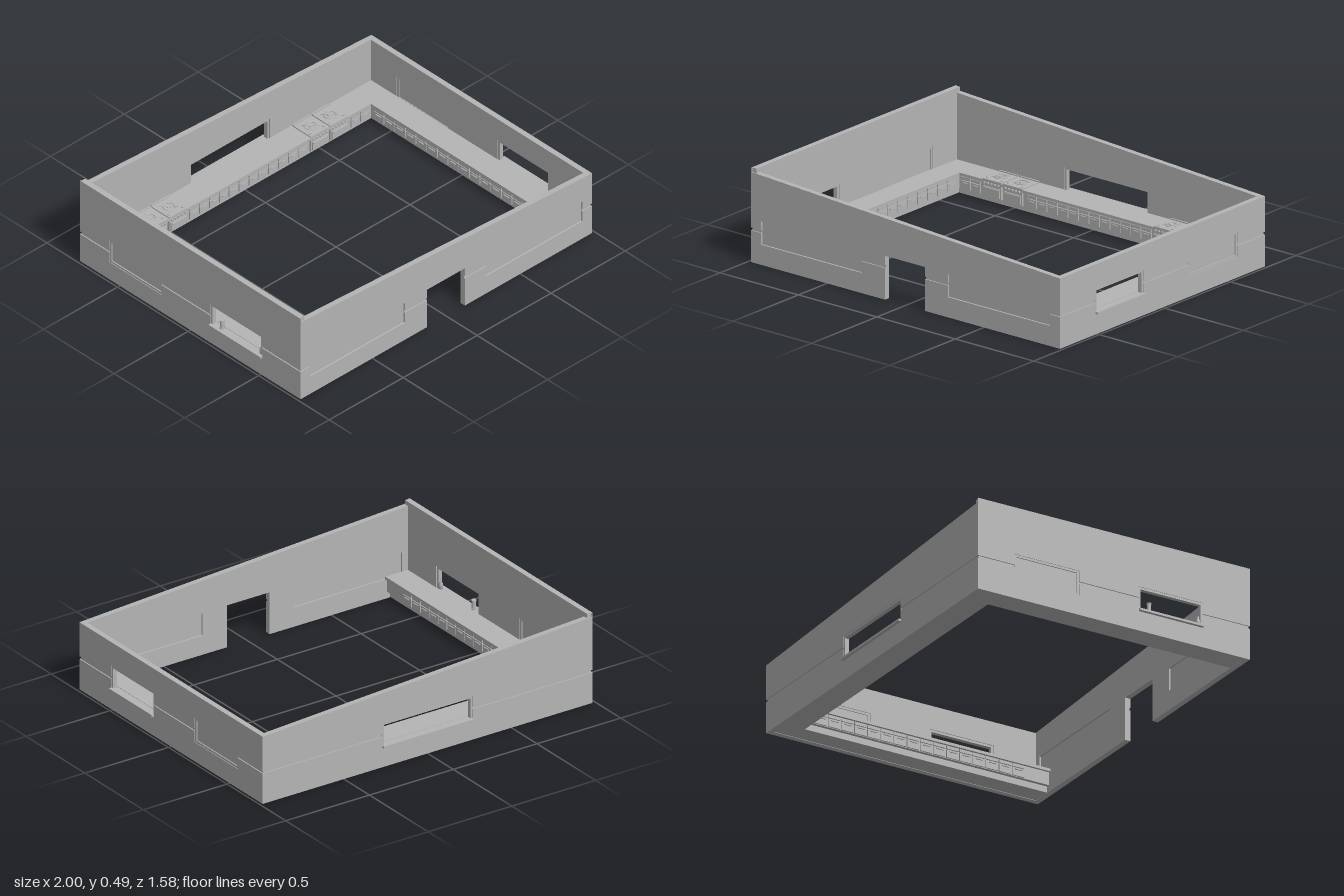
import * as THREE from 'three';

const grey = new THREE.MeshStandardMaterial({ color: 0xb4b4b4 });
grey.name = 'plain grey';

function add(parent, name, geometry) {
  const mesh = new THREE.Mesh(geometry, grey);
  mesh.name = name;
  parent.add(mesh);
  return mesh;
}

// Box given by its limits on each axis
function box(parent, name, x0, x1, y0, y1, z0, z1) {
  const g = new THREE.BoxGeometry(x1 - x0, y1 - y0, z1 - z0);
  return add(parent, name, g.translate((x0 + x1) / 2, (y0 + y1) / 2, (z0 + z1) / 2));
}

function cylinder(parent, name, r, h, x, y, z, sides = 16, rTop = r) {
  return add(parent, name, new THREE.CylinderGeometry(rTop, r, h, sides).translate(x, y + h / 2, z));
}

function slab(parent, name, shape, z0, z1) {
  const g = new THREE.ExtrudeGeometry(shape, { depth: z1 - z0, bevelEnabled: false });
  return add(parent, name, g.translate(0, 0, z0));
}

function rectPath(Type, x0, x1, y0, y1) {
  return new Type([[x0, y0], [x1, y0], [x1, y1], [x0, y1]].map(p => new THREE.Vector2(...p)));
}

// Wall outline with a sloping top and openings notched into the lower edge
function outline(half, bottom, hL, hR, notches) {
  const pts = [[-half, bottom]];
  for (const n of notches) pts.push([n.x0, bottom], [n.x0, n.y1], [n.x1, n.y1], [n.x1, bottom]);
  pts.push([half, bottom], [half, hR], [-half, hL]);
  return new THREE.Shape(pts.map(p => new THREE.Vector2(...p)));
}

const THICK = 0.03, SKIN = 0.006, GROOVE0 = 0.165, GROOVE1 = 0.18;

// One wall, drawn facing +z with its outer face at distance d, then turned
function wall(parent, name, turn, d, half, hL, hR, openings) {
  const g = new THREE.Group();
  g.name = name;
  g.rotation.y = turn;
  parent.add(g);
  const inner = d - THICK, face = d - SKIN;

  // Structural core
  const core = outline(half - SKIN, 0, hL, hR, openings.filter(o => o.y0 === 0));
  for (const o of openings) if (o.y0 > 0) core.holes.push(rectPath(THREE.Path, o.x0, o.x1, o.y0, o.y1));
  slab(g, 'wallCore', core, inner, face);

  // Outer cladding above and below the horizontal groove
  slab(g, 'upperCladding', outline(half, GROOVE1, hL, hR, openings), face, d);
  let x = -half;
  for (const o of openings) {
    box(g, 'lowerCladding', x, o.x0, 0, GROOVE0, face, d);
    if (o.y0 > 0) box(g, 'lowerCladding', o.x0, o.x1, 0, o.y0, face, d);
    x = o.x1;
  }
  box(g, 'lowerCladding', x, half, 0, GROOVE0, face, d);

  // Window frames, blind panels and sills
  for (const o of openings) {
    if (o.frame) {
      const ring = rectPath(THREE.Shape, o.x0, o.x1, o.y0, o.y1);
      ring.holes.push(rectPath(THREE.Path, o.x0 + 0.012, o.x1 - 0.012, o.y0 + 0.012, o.y1 - 0.012));
      slab(g, 'windowFrame', ring, inner + 0.004, d - 0.003);
    }
    if (o.panel) box(g, 'blindPanel', o.x0, o.x1, o.y0, o.y1, inner + 0.009, d - 0.009);
    if (o.sill) box(g, 'windowSill', o.x0, o.x1, 0.106, 0.118, d - 0.045, d + 0.015);
  }
}

// Run of cupboards drawn facing +z, with the front at distance f
function cabinetRun(parent, name, turn, f, back, a0, a1, d0, d1, count) {
  const g = new THREE.Group();
  g.name = name;
  g.rotation.y = turn;
  parent.add(g);
  box(g, 'countertop', a0, a1, 0.105, 0.12, back, f);
  box(g, 'carcass', a0, a1, 0.035, 0.105, back, f - 0.012);
  box(g, 'toeKick', a0, a1, 0.002, 0.035, back, f - 0.03);
  const w = (d1 - d0) / count;
  for (let i = 0; i < count; i++) {
    const x0 = d0 + i * w + 0.003, x1 = d0 + (i + 1) * w - 0.003;
    box(g, 'drawerFront', x0, x1, 0.085, 0.101, f - 0.012, f - 0.005);
    box(g, 'cupboardDoor', x0, x1, 0.038, 0.081, f - 0.012, f - 0.005);
    box(g, 'handle', x0 + 0.015, x1 - 0.015, 0.069, 0.073, f - 0.005, f + 0.001);
  }
}

// Cooker with a round burner, dials and a front rail
function stove(parent, x) {
  const g = new THREE.Group();
  g.name = 'stove';
  g.position.x = x;
  parent.add(g);
  box(g, 'stoveBody', -0.06, 0.06, 0.035, 0.126, -0.74, -0.612);
  box(g, 'ovenDoor', -0.052, 0.052, 0.042, 0.09, -0.612, -0.606);
  box(g, 'ovenRail', -0.045, 0.045, 0.083, 0.087, -0.606, -0.6);
  box(g, 'backRail', -0.06, 0.06, 0.126, 0.132, -0.745, -0.737);
  const ring = new THREE.TorusGeometry(0.031, 0.003, 6, 24).rotateX(Math.PI / 2);
  add(g, 'burnerRing', ring.translate(0, 0.128, -0.68));
  cylinder(g, 'burnerCap', 0.012, 0.005, 0, 0.126, -0.68);
  for (let i = 0; i < 4; i++) {
    const a = i * Math.PI / 2 + Math.PI / 4;
    const bar = new THREE.BoxGeometry(0.03, 0.004, 0.004).translate(0.03, 0, 0).rotateY(a);
    add(g, 'potSupport', bar.translate(0, 0.13, -0.68));
  }
  for (const s of [-1, 1]) cylinder(g, 'topKnob', 0.006, 0.005, s * 0.046, 0.126, -0.632, 10);
  for (let i = 0; i < 5; i++) {
    const dial = new THREE.CylinderGeometry(0.006, 0.006, 0.01, 10).rotateX(Math.PI / 2);
    add(g, 'dial', dial.translate(-0.044 + i * 0.022, 0.106, -0.607));
  }
}

export function createModel() {
  const model = new THREE.Group();
  model.name = 'kitchenRoom';
  const q = Math.PI / 2, X = 0.985, Z = 0.782;
  const high = 0.468, low = 0.365, parapet = 0.49;

  // Four walls
  const blind = (x0, x1) => ({ x0, x1, y0: 0.105, y1: 0.225, panel: true });
  const framed = (x0, x1, open) => ({ x0, x1, y0: 0.105, y1: 0.238, frame: true, panel: !open, sill: open });
  wall(model, 'frontWall', 0, Z, X, high, low,
    [blind(-0.92, -0.28), { x0: -0.13, x1: 0.125, y0: 0, y1: 0.228 }, blind(0.27, 0.92)]);
  wall(model, 'backWall', 2 * q, Z, X, low, high, [framed(-0.27, 0.27, true)]);
  wall(model, 'leftWall', q, X, Z, low, low, [framed(-0.51, -0.143, true), framed(0.2, 0.572, false)]);
  wall(model, 'rightWall', -q, X, Z, parapet, parapet, [framed(-0.572, -0.2, false), framed(0.143, 0.51, true)]);

  // Cupboards along three walls; negative f puts the front towards the room
  cabinetRun(model, 'backCabinets', 0, -0.612, -0.752, -0.955, 0.955, -0.4, 0.4, 12);
  cabinetRun(model, 'backCornerCabinetsRight', 0, -0.612, -0.752, -0.955, -0.69, -0.82, -0.69, 2);
  cabinetRun(model, 'backCornerCabinetsLeft', 0, -0.612, -0.752, 0.69, 0.955, 0.69, 0.82, 2);
  cabinetRun(model, 'rightCabinets', q, -0.82, -0.955, -0.752, 0.752, -0.61, 0.6, 16);
  cabinetRun(model, 'leftCabinets', -q, -0.82, -0.955, -0.752, 0.752, -0.6, 0.61, 16);

  // Two pairs of stoves
  for (const x of [-0.615, -0.482, 0.475, 0.605]) stove(model, x);

  // Bottle and jar standing on the right window sill
  const profile = [[0, 0], [0.011, 0], [0.011, 0.028], [0.004, 0.038], [0.004, 0.05], [0, 0.05]];
  const bottle = new THREE.LatheGeometry(profile.map(p => new THREE.Vector2(...p)), 14);
  add(model, 'bottle', bottle.translate(-0.97, 0.117, 0.492));
  cylinder(model, 'jar', 0.011, 0.045, -0.97, 0.117, 0.21);
  cylinder(model, 'jarBase', 0.013, 0.008, -0.97, 0.117, 0.21);
  cylinder(model, 'jarLid', 0.013, 0.007, -0.97, 0.162, 0.21);
  return model;
}
